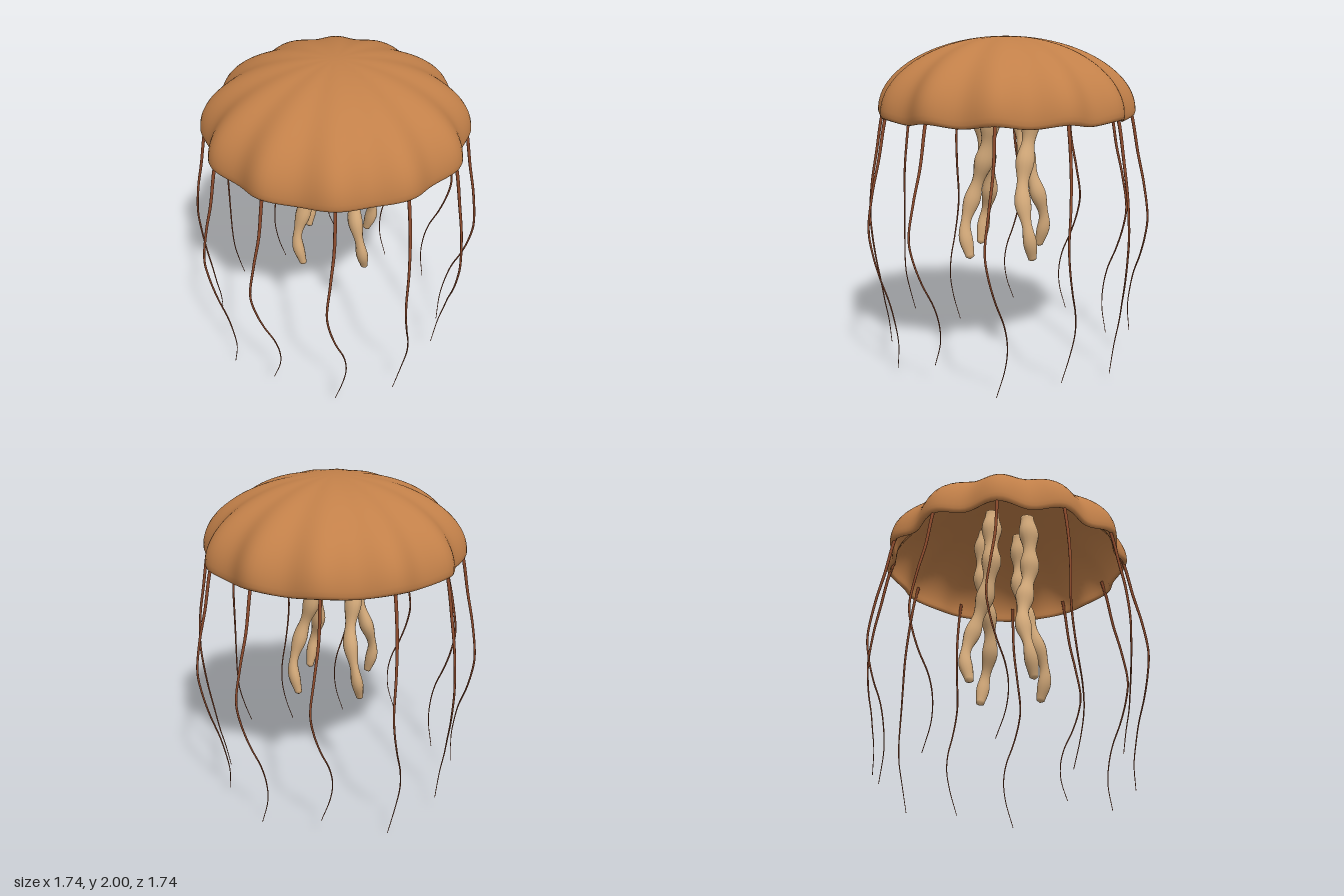
import * as THREE from 'three';
import { mergeVertices } from 'three/addons/utils/BufferGeometryUtils.js';

const mat = (name, color) => {
  const m = new THREE.MeshStandardMaterial({ color });
  m.name = name;
  return m;
};

// Weld seams and recompute smooth normals
function smooth(geo) {
  geo.deleteAttribute('uv');
  geo.deleteAttribute('normal');
  const welded = mergeVertices(geo, 1e-5);
  welded.computeVertexNormals();
  return welded;
}

// Tube whose radius varies along its length; radiusAt(u, centre)
function taperedTube(points, rings, sides, radiusAt, depth = 1) {
  const curve = new THREE.CatmullRomCurve3(points);
  const geo = new THREE.TubeGeometry(curve, rings, 1, sides);
  const pos = geo.attributes.position;
  const v = new THREE.Vector3();
  for (let i = 0; i < pos.count; i++) {
    const u = Math.floor(i / (sides + 1)) / rings;
    const c = curve.getPointAt(u);
    v.fromBufferAttribute(pos, i).sub(c).multiplyScalar(radiusAt(u, c));
    pos.setXYZ(i, c.x + v.x, c.y + v.y, c.z + v.z * depth);
  }
  return smooth(geo);
}

// Hollow dome with a rolled lip and twelve lobes
function bellGeometry() {
  const profile = [];
  const steps = 28;
  for (let i = 0; i <= steps; i++) {
    const a = (i / steps) * Math.PI / 2;
    profile.push(new THREE.Vector2(0.728 * Math.sin(a), 1.54 + 0.43 * Math.cos(a)));
  }
  profile.push(new THREE.Vector2(0.731, 1.527), new THREE.Vector2(0.74, 1.521), new THREE.Vector2(0.75, 1.527));
  for (let i = steps; i >= 0; i--) {
    const a = (i / steps) * Math.PI / 2;
    profile.push(new THREE.Vector2(0.756 * Math.sin(a), 1.545 + 0.455 * Math.cos(a)));
  }
  const geo = new THREE.LatheGeometry(profile, 144);
  const pos = geo.attributes.position;
  for (let i = 0; i < pos.count; i++) {
    const x = pos.getX(i), z = pos.getZ(i);
    const wave = Math.cos(12 * Math.atan2(z, x));
    const rim = Math.pow(Math.hypot(x, z) / 0.756, 8);
    const s = 1 + 0.032 * wave;
    pos.setXYZ(i, x * s, pos.getY(i) + 0.013 * wave * rim, z * s);
  }
  return smooth(geo);
}

export function createModel() {
  const model = new THREE.Group();
  model.name = 'jellyfish';
  const bellMat = mat('amber bell', 0xc28049);
  const armMat = mat('pale tan', 0xd4aa7a);
  const tentacleMat = mat('russet', 0x8c4a2c);

  const bell = new THREE.Mesh(bellGeometry(), bellMat);
  bell.name = 'bell';
  model.add(bell);

  // Four beaded oral arms, a quarter turn apart
  const armPath = [
    [0.14, 1.88, -0.085], [0.15, 1.65, -0.095], [0.15, 1.45, -0.09], [0.17, 1.25, -0.045],
    [0.22, 1.05, -0.005], [0.28, 0.85, -0.015], [0.262, 0.67, -0.055],
  ];
  const armRadius = (u, c) => {
    if (u === 0 || u === 1) return 0.0005;
    const base = THREE.MathUtils.lerp(0.045, 0.025, u * u);
    return base * (1 + 0.2 * Math.cos(2 * Math.PI * (c.y - 1.26) / 0.24));
  };
  for (let k = 0; k < 4; k++) {
    const cos = Math.round(Math.cos(k * Math.PI / 2)), sin = Math.round(Math.sin(k * Math.PI / 2));
    const pts = armPath.map(([x, y, z]) => new THREE.Vector3(x * cos - z * sin, y, x * sin + z * cos));
    const arm = new THREE.Mesh(taperedTube(pts, 90, 14, armRadius, 1.25), armMat);
    arm.name = 'oralArm' + (k + 1);
    model.add(arm);
  }

  // Twelve trailing tentacles: [height, outward drift, sideways drift]
  const drift = [
    [1.62, -0.035, 0], [1.52, -0.005, 0], [1.3, 0.035, -0.005], [1.1, 0.075, -0.025],
    [0.88, 0.1, -0.045], [0.75, 0.09, -0.03], [0.6, 0.065, 0.005], [0.45, 0.03, 0.05],
    [0.32, 0.01, 0.065], [0.18, -0.005, 0.05], [0, 0, 0],
  ];
  const tipHeight = [0.08, 0.01, 0.16, 0.03, 0.06, 0.16, 0, 0.13, 0.1, 0.02, 0.18, 0.04];
  const tipRadius = [0.72, 0.695, 0.71, 0.72, 0.737, 0.75, 0.755, 0.77, 0.76, 0.755, 0.78, 0.74];
  for (let k = 0; k < 12; k++) {
    const a = k * Math.PI / 6, cos = Math.cos(a), sin = Math.sin(a);
    const pts = drift.map(([h, out, side]) => {
      const s = 1 - h / 1.62;
      const r = 0.767 + out + (tipRadius[k] - 0.767) * s ** 3;
      return new THREE.Vector3(r * cos + side * sin, h + tipHeight[k] * s ** 2, r * sin - side * cos);
    });
    const geo = taperedTube(pts, 80, 8, (u) => THREE.MathUtils.lerp(0.0105, 0.002, u));
    const tentacle = new THREE.Mesh(geo, tentacleMat);
    tentacle.name = 'tentacle' + (k + 1);
    model.add(tentacle);
  }
  return model;
}
